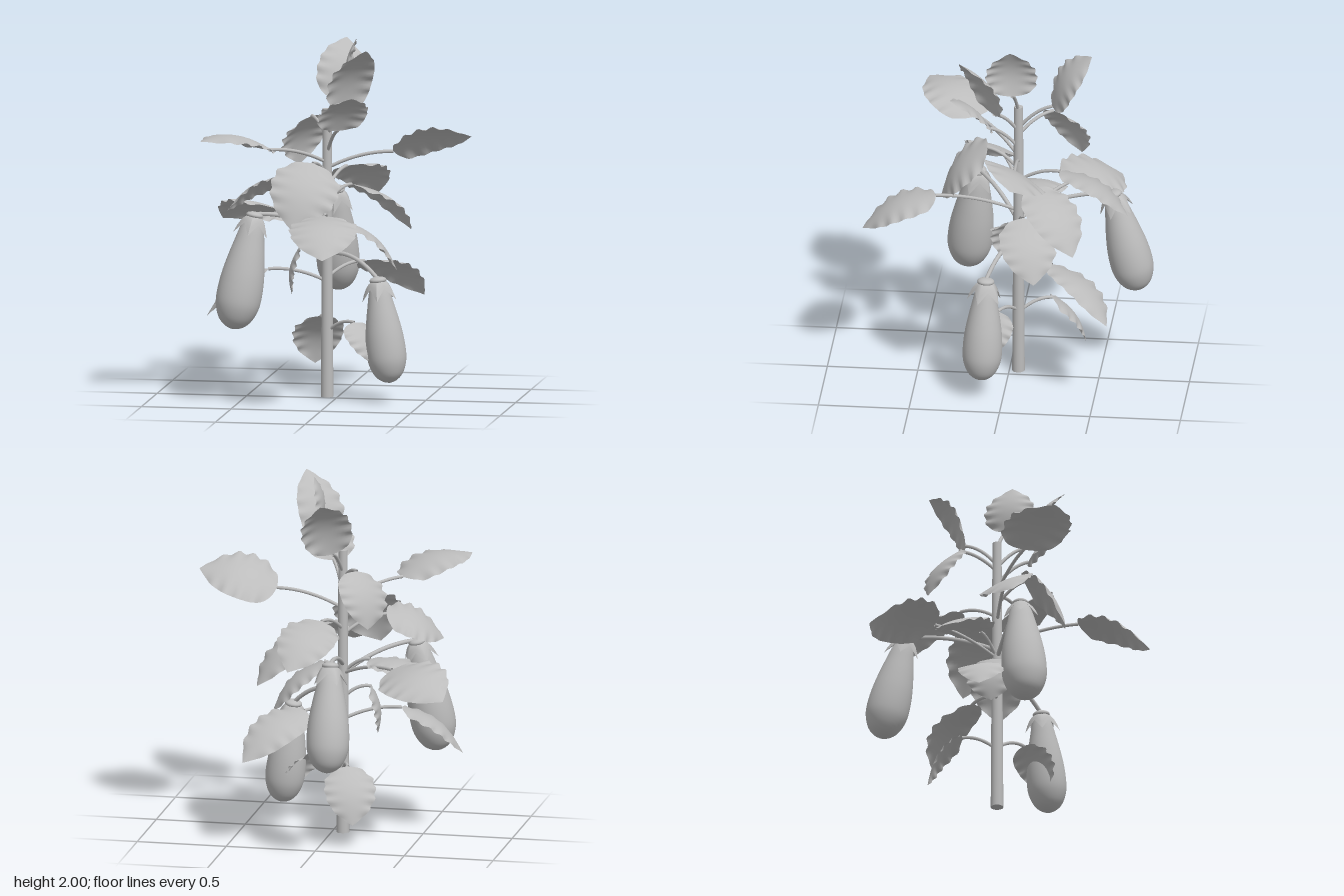
import * as THREE from 'three';

const grey = new THREE.MeshStandardMaterial({ color: 0xbcbcbc });
grey.name = 'plain grey';
grey.side = THREE.DoubleSide;

const V = (a) => new THREE.Vector3(...a);
const UP = new THREE.Vector3(0, 1, 0);
const STEM = { x: -0.06, z: -0.05, height: 1.6 };

function mesh(name, geometry) {
  const m = new THREE.Mesh(geometry, grey);
  m.name = name;
  return m;
}

const spline = (points) => new THREE.SplineCurve(points.map((p) => new THREE.Vector2(...p)));

// Half-width of a leaf along its length, 0 at the stalk and 1 at the tip
const OUTLINE = spline([[0, 0.04], [0.05, 0.52], [0.2, 0.9], [0.4, 1], [0.6, 0.92], [0.78, 0.66], [0.9, 0.33], [1, 0]]);

// Broad, arched blade with a wavy, scalloped edge
function leafBlade(base, tip, width, roll) {
  const along = tip.clone().sub(base);
  const length = along.length();
  const dir = along.clone().normalize();
  const across = dir.clone().cross(UP).normalize().applyAxisAngle(dir, roll);
  const face = across.clone().cross(dir);

  const geo = new THREE.PlaneGeometry(1, 1, 12, 40);
  const pos = geo.attributes.position;
  const p = new THREE.Vector3();
  for (let i = 0; i < pos.count; i++) {
    const s = pos.getX(i) * 2;
    const { x: u, y: o } = OUTLINE.getPoint(0.5 - pos.getY(i));
    const wave = Math.sin(u * Math.PI * 11);
    const half = Math.max(0, o) * (width / 2) * (1 + 0.04 * wave * s * s);
    const lift = 0.13 * length * Math.sin(Math.PI * u)
      - 0.09 * width * s * s * o
      + 0.007 * wave * Math.abs(s) ** 3 * Math.min(1, (1 - u) * 3);
    p.copy(base).addScaledVector(along, u).addScaledVector(across, s * half).addScaledVector(face, lift);
    pos.setXYZ(i, p.x, p.y, p.z);
  }
  geo.computeVertexNormals();
  return geo;
}

// Thin stalk arching out from the stem
function stalk(startY, end, radius, rise) {
  const start = new THREE.Vector3(STEM.x, startY, STEM.z);
  const mid = start.clone().lerp(end, 0.5);
  mid.y += rise;
  return new THREE.TubeGeometry(new THREE.QuadraticBezierCurve3(start, mid, end), 14, radius, 8);
}

// Leaf tiers share a width and the drop from blade to stem joint.
// Each leaf: tip x, y, z, height of the blade's base, stalk's share of the reach, optional roll
const TIERS = {
  crownLeaves: { width: 0.28, drop: 0.15, leaves: [
    [-0.02, 1.94, -0.46, 1.62, 0.46, 0.5],
    [0.21, 1.97, 0.25, 1.6, 0.42],
    [0.11, 2.0, -0.02, 1.72, 0.75, 0.25],
    [0.14, 1.71, 0.31, 1.5, 0.42],
  ] },
  broadLeaves: { width: 0.37, drop: 0.1, leaves: [
    [0.74, 1.46, -0.08, 1.37, 0.46, -0.48],
    [-0.67, 1.48, 0.5, 1.4, 0.46],
    [-0.18, 0.98, 0.39, 1.32, 0.4, -0.4],
    [0.06, 0.88, 0.8, 1.07, 0.53],
    [-0.73, 0.9, -0.56, 1.0, 0.49, 0.35],
  ] },
  middleLeaves: { width: 0.31, drop: 0.1, leaves: [
    [-0.27, 1.24, -0.38, 1.53, 0.55, -0.3],
    [-0.57, 1.06, 0.22, 1.22, 0.43, 0.45],
    [0.12, 1.05, -0.67, 1.25, 0.38, -0.25],
    [0.35, 0.89, -0.39, 1.17, 0.29],
    [-0.57, 0.9, -0.18, 1.0, 0.32],
    [0.31, 0.69, -0.17, 0.97, 0.27],
  ] },
  lowerLeaves: { width: 0.28, drop: 0.07, leaves: [
    [0.39, 0.5, -0.58, 0.73, 0.38, -0.3],
    [-0.71, 0.45, 0.07, 0.71, 0.49],
    [-0.25, 0.56, -0.02, 0.83, 0.8],
    [-0.19, 0.13, -0.41, 0.42, 0.5],
    [0.25, 0.21, 0.13, 0.43, 0.54],
  ] },
};

// A stalk and blade in line, pointing straight out from the stem
function makeLeaf([x, y, z, baseY, share, roll = 0], width, drop) {
  const leaf = new THREE.Group();
  leaf.name = 'leaf';
  const tip = new THREE.Vector3(x, y, z);
  const base = new THREE.Vector3(STEM.x, 0, STEM.z).lerp(tip, share).setY(baseY);
  leaf.add(mesh('leafStalk', stalk(baseY - drop, base, 0.0095, 0.05)));
  leaf.add(mesh('leafBlade', leafBlade(base, tip, width, roll)));
  return leaf;
}

// Fruits: stem height, top, bottom, greatest radius, rise of the stalk
const FRUITS = [
  [0.95, [-0.1, 1.07, -0.57], [-0.11, 0.5, -0.71], 0.118, 0.07],
  [0.9, [-0.42, 1.03, 0.21], [-0.53, 0.41, 0.28], 0.125, 0.07],
  [0.79, [0.25, 0.67, 0.1], [0.32, 0.11, 0.12], 0.109, 0.11],
];

// Shape of the fruit: radius and height as fractions, from bottom to top
const FRUIT_PROFILE = spline([
  [0, 0], [0.35, 0.02], [0.7, 0.08], [0.94, 0.19], [1, 0.31], [0.95, 0.47],
  [0.82, 0.63], [0.66, 0.78], [0.52, 0.9], [0.36, 0.97], [0, 1],
]).getPoints(40);

// Five pointed sepals draped over the shoulder
function calyxGeometry() {
  const geo = new THREE.CylinderGeometry(1, 1, 1, 10, 4, true);
  const pos = geo.attributes.position;
  for (let i = 0; i < pos.count; i++) {
    const row = 0.5 - pos.getY(i);
    const column = i % 11;
    const point = column % 2 === 0;
    const a = (column / 10) * Math.PI * 2;
    const r = 0.025 + (point ? 0.075 : 0.042) * row ** 0.7;
    const y = -(point ? 0.11 : 0.045) * row * (0.4 + 0.6 * row);
    pos.setXYZ(i, Math.sin(a) * r, y, Math.cos(a) * r);
  }
  geo.computeVertexNormals();
  return geo;
}

function makeFruit([startY, t, b, radius, rise]) {
  const group = new THREE.Group();
  group.name = 'hangingFruit';
  const top = V(t), bottom = V(b);
  const axis = top.clone().sub(bottom);
  const length = axis.length();
  const end = top.clone().addScaledVector(axis, 0.02);
  group.add(mesh('fruitStalk', stalk(startY, end, 0.012, rise)));

  const fruit = new THREE.Group();
  fruit.name = 'fruit';
  fruit.position.copy(bottom);
  fruit.quaternion.setFromUnitVectors(UP, axis.normalize());
  const profile = FRUIT_PROFILE.map((p) => new THREE.Vector2(Math.max(0, p.x) * radius, p.y * length));
  const calyx = mesh('calyx', calyxGeometry());
  const knob = mesh('calyxKnob', new THREE.SphereGeometry(0.048, 16, 10));
  knob.scale.y = 0.45;
  calyx.position.y = knob.position.y = length + 0.005;
  fruit.add(mesh('fruitBody', new THREE.LatheGeometry(profile, 32)), calyx, knob);
  group.add(fruit);
  return group;
}

export function createModel() {
  const plant = new THREE.Group();
  plant.name = 'fruitingPlant';

  // Upright stem, slightly tapered
  const stem = mesh('mainStem', new THREE.CylinderGeometry(0.025, 0.035, STEM.height, 20));
  stem.position.set(STEM.x, STEM.height / 2, STEM.z);
  plant.add(stem);

  // Leaves, tier by tier
  for (const [name, { width, drop, leaves }] of Object.entries(TIERS)) {
    const tier = new THREE.Group();
    tier.name = name;
    leaves.forEach((leaf) => tier.add(makeLeaf(leaf, width, drop)));
    plant.add(tier);
  }

  FRUITS.forEach((fruit) => plant.add(makeFruit(fruit)));
  return plant;
}
